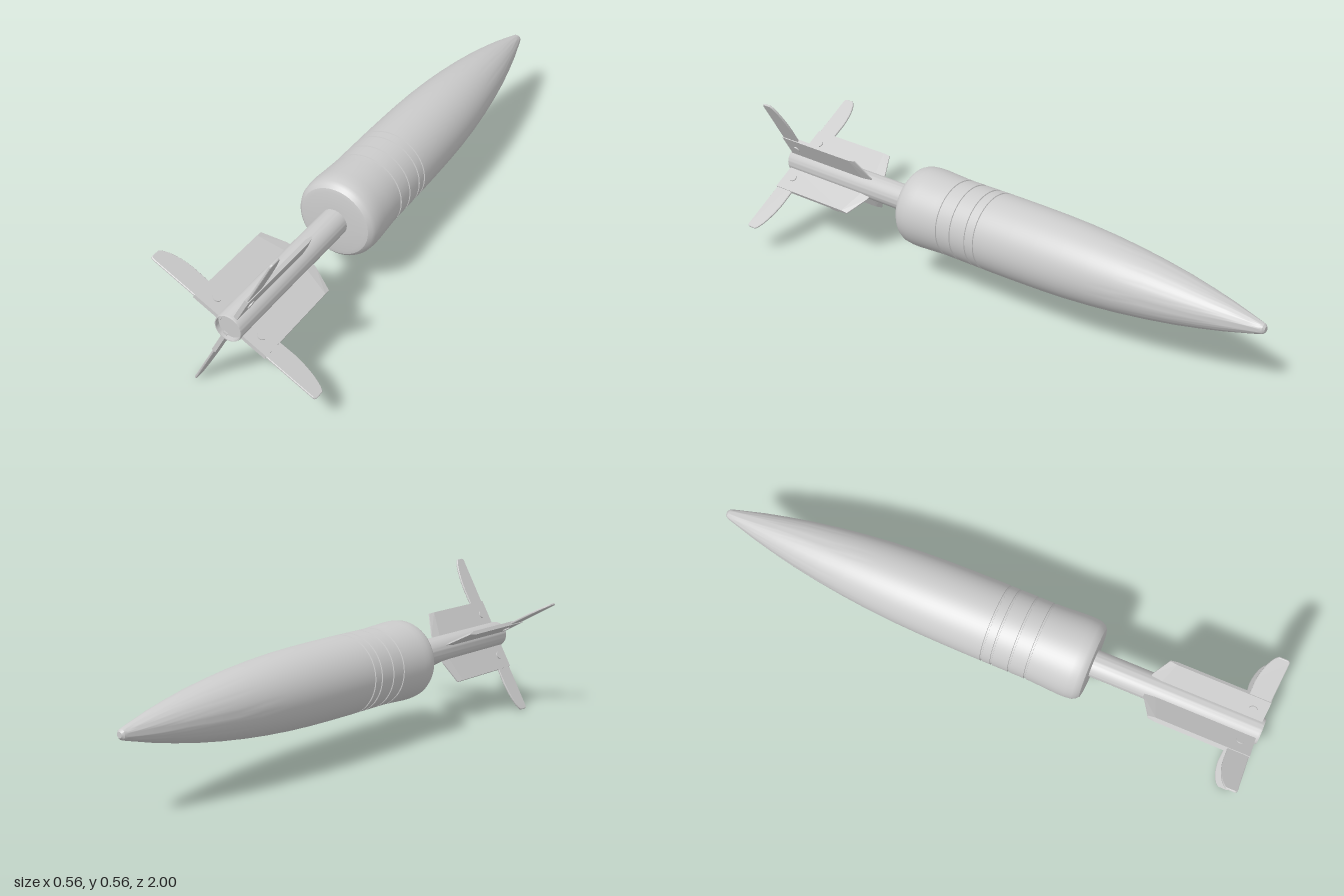
import * as THREE from 'three';
import { toCreasedNormals } from 'three/addons/utils/BufferGeometryUtils.js';
import { ConvexGeometry } from 'three/addons/geometries/ConvexGeometry.js';

const material = new THREE.MeshStandardMaterial({ color: 0xcccccc });

function addMesh(parent, name, geometry) {
  const mesh = new THREE.Mesh(geometry, material);
  mesh.name = name;
  parent.add(mesh);
  return mesh;
}

// Turned part along z; the profile is [radius, z] from nose to tail
function turned(profile, segments) {
  const points = profile.map(([r, z]) => new THREE.Vector2(r, z));
  const geometry = new THREE.LatheGeometry(points, segments).rotateX(Math.PI / 2);
  return toCreasedNormals(geometry, 0.45);
}

// Fixed plate with a wedge-shaped leading edge and a cut outer corner
function plateGeometry() {
  const half = 0.007, thin = 0.002;
  const points = [];
  const pair = (r, z, t) => points.push(new THREE.Vector3(r, t, z), new THREE.Vector3(r, -t, z));
  pair(0.035, 0.99, half);
  pair(0.14, 0.99, half);
  pair(0.14, 0.66, half);
  pair(0.035, 0.63, half);
  pair(0.14, 0.635, thin);
  pair(0.06, 0.597, thin);
  pair(0.035, 0.592, thin);
  return new ConvexGeometry(points);
}

// Slim swing-out blade with a swept, rounded tip
function bladeGeometry(tip) {
  const shape = new THREE.Shape();
  shape.moveTo(0.05, 0.915);
  shape.lineTo(0.2, 0.912);
  shape.bezierCurveTo(0.26, 0.915, tip - 0.012, 0.932, tip, 0.95);
  shape.lineTo(tip, 0.975);
  shape.quadraticCurveTo(tip, 0.988, tip - 0.012, 0.988);
  shape.lineTo(0.05, 0.988);
  const geometry = new THREE.ExtrudeGeometry(shape, {
    depth: 0.004, bevelThickness: 0.002, bevelSize: 0.002, bevelOffset: -0.002,
    bevelSegments: 1, curveSegments: 10,
  });
  return toCreasedNormals(geometry.translate(0, 0, -0.002).rotateX(Math.PI / 2), 0.5);
}

export function createModel() {
  const root = new THREE.Group();
  root.name = 'finnedProjectile';
  const model = new THREE.Group();
  model.name = 'assembly';
  model.position.set(-0.01, 0.278, 0);
  root.add(model);

  // Ogive body with a blunt tip and fine grooves around the waist
  const profile = [
    [0, -1], [0.01, -0.998], [0.017, -0.991], [0.021, -0.978], [0.03, -0.945],
    [0.05, -0.87], [0.068, -0.79], [0.086, -0.7], [0.102, -0.6], [0.115, -0.5],
    [0.125, -0.4], [0.132, -0.3], [0.136, -0.2], [0.138, -0.1], [0.139, 0],
  ];
  for (const z of [0.038, 0.075, 0.14, 0.2]) {
    profile.push([0.139, z - 0.004], [0.1355, z - 0.003], [0.1355, z + 0.003], [0.139, z + 0.004]);
  }
  profile.push([0.14, 0.23], [0.145, 0.32], [0.145, 0.345], [0.142, 0.372],
    [0.136, 0.385], [0.125, 0.395], [0.112, 0.398], [0.04, 0.398]);
  addMesh(model, 'body', turned(profile, 72));

  // Tail tube with a shallow recess in its rear end
  addMesh(model, 'tailTube', turned([
    [0.048, 0.38], [0.048, 0.994], [0.046, 1], [0.043, 1], [0.042, 0.985], [0, 0.985],
  ], 48));

  // Four fins, each a fixed plate, a swing blade and pivot bolts
  const plate = plateGeometry();
  const bolt = new THREE.CylinderGeometry(0.014, 0.014, 0.022, 20);
  [0.328, 0.312, 0.317, 0.331].forEach((tip, i) => {
    const fin = new THREE.Group();
    fin.name = 'fin' + (i + 1);
    fin.rotation.z = THREE.MathUtils.degToRad(60.8 + i * 90);
    addMesh(fin, 'finPlate', plate);
    addMesh(fin, 'finBlade', bladeGeometry(tip));
    addMesh(fin, 'pivotBolt', bolt).position.set(0.087, 0, 0.945);
    model.add(fin);
  });

  return root;
}
